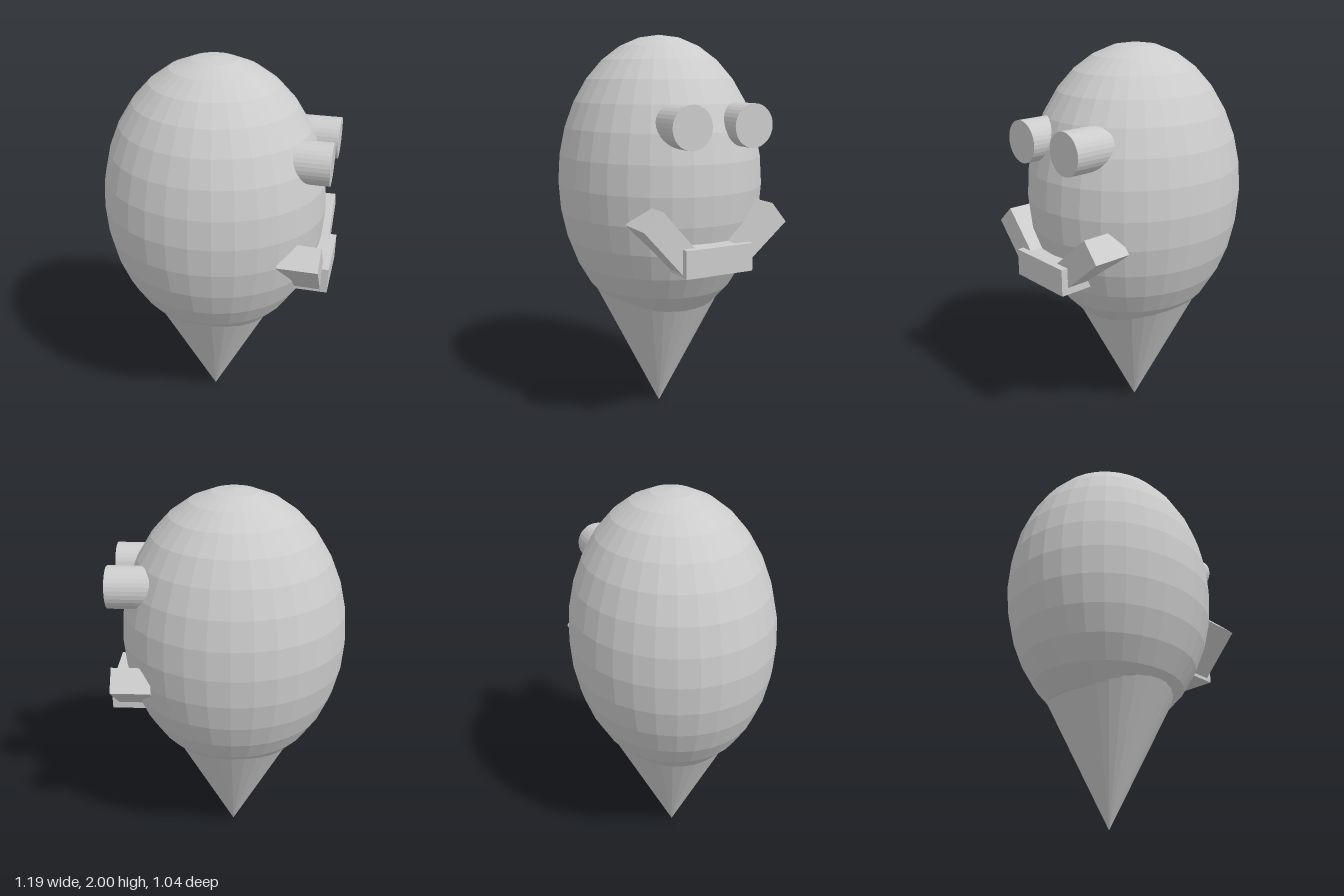
import * as THREE from 'three';

const material = new THREE.MeshStandardMaterial({ color: 0xcccccc, flatShading: true });

export function createModel() {
  const model = new THREE.Group();
  model.name = 'coneHead';

  const add = (name, geometry, x, y, z) => {
    const mesh = new THREE.Mesh(geometry, material);
    mesh.name = name;
    mesh.position.set(x, y, z);
    model.add(mesh);
    return mesh;
  };

  // Egg-shaped head
  const headGeometry = new THREE.SphereGeometry(1, 32, 16).scale(0.57, 0.75, 0.522);
  add('head', headGeometry, -0.03, 1.25, 0);

  // Pointed cone below, tip down, its wide end buried in the head
  const coneGeometry = new THREE.ConeGeometry(0.4, 0.8, 32, 1, true).rotateX(Math.PI);
  add('cone', coneGeometry, -0.03, 0.405, 0);

  // Two stubby eyes pointing along +x
  const eyeGeometry = new THREE.CylinderGeometry(0.103, 0.103, 0.22, 32).rotateZ(-Math.PI / 2);
  add('leftEye', eyeGeometry, 0.458, 1.57, -0.19);
  add('rightEye', eyeGeometry, 0.458, 1.57, 0.137);

  // Smile: a level middle bar with a tilted bar at each end
  add('mouthMiddle', new THREE.BoxGeometry(0.2, 0.135, 0.36), 0.495, 0.953, 0);
  const cornerGeometry = new THREE.BoxGeometry(0.197, 0.128, 0.29);
  const tilt = THREE.MathUtils.degToRad;
  add('mouthCornerRight', cornerGeometry, 0.462, 1.052, 0.232).rotation.x = tilt(-48);
  add('mouthCornerLeft', cornerGeometry, 0.462, 1.055, -0.241).rotation.x = tilt(40);

  return model;
}
